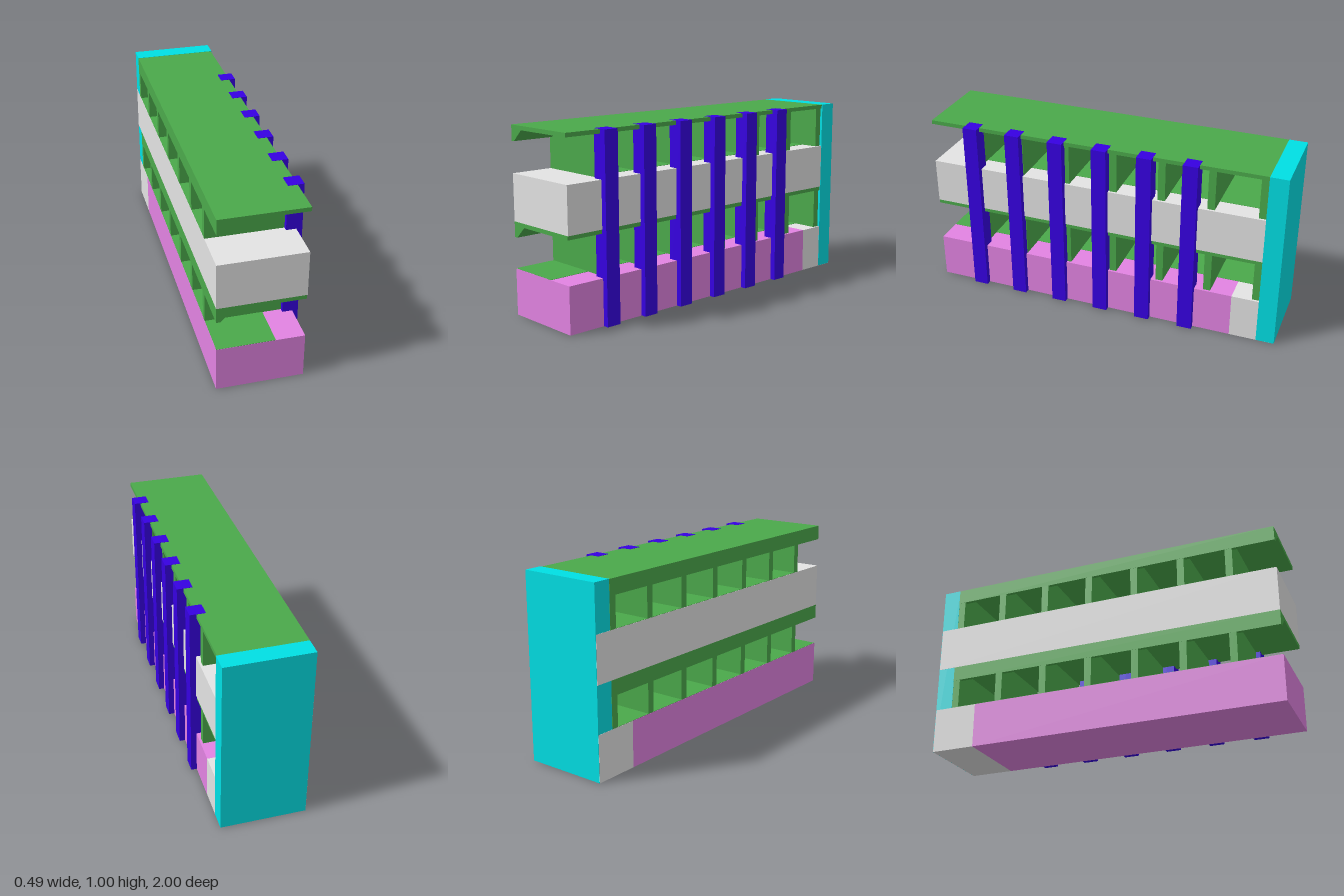
import * as THREE from 'three';

const material = (name, color) => {
  const m = new THREE.MeshStandardMaterial({ color });
  m.name = name;
  return m;
};

export function createModel() {
  const green = material('green', 0x4ba94b);
  const grey = material('light grey', 0xe3e3e3);
  const pink = material('pink', 0xe283e2);
  const blue = material('blue', 0x3600e1);
  const cyan = material('cyan', 0x00dfe4);

  const model = new THREE.Group();
  model.name = 'buildingBlock';

  // Box given by its limits on each axis
  const box = (name, mat, [x0, x1], [y0, y1], [z0, z1]) => {
    const mesh = new THREE.Mesh(new THREE.BoxGeometry(x1 - x0, y1 - y0, z1 - z0), mat);
    mesh.position.set((x0 + x1) / 2, (y0 + y1) / 2, (z0 + z1) / 2);
    mesh.name = name;
    model.add(mesh);
  };

  const back = -0.245;

  // Ground storey base and upper parapet
  box('base', pink, [back, 0.2125], [0, 0.25], [-0.75, 1]);
  box('baseEnd', grey, [back, 0.2125], [0, 0.25], [-0.998, -0.75]);
  box('parapet', grey, [back, 0.2125], [0.5, 0.75], [-0.998, 1]);

  // End wall
  box('endWall', cyan, [-0.244, 0.2135], [0.001, 1], [-1, -0.9]);

  // Thin floor finishes in the open bays
  box('lowerFloor', green, [-0.244, 0.06], [0.249, 0.2515], [-0.9, 0.999]);
  box('upperFloor', green, [-0.244, 0.1], [0.749, 0.7515], [-0.9, 0.765]);

  // Slabs with a chamfered downstand beam along the back edge
  const profile = new THREE.Shape([
    [back, -0.083], [-0.225, -0.083], [-0.16, -0.022],
    [0.2085, -0.022], [0.2085, 0], [back, 0],
  ].map(([x, y]) => new THREE.Vector2(x, y)));
  const slabGeometry = new THREE.ExtrudeGeometry(profile, { depth: 1.9, bevelEnabled: false });
  for (const [name, y] of [['floorSlab', 0.5], ['roofSlab', 0.999]]) {
    const slab = new THREE.Mesh(slabGeometry, green);
    slab.position.set(0, y, -0.9);
    slab.name = name;
    model.add(slab);
  }

  // Cross walls dividing the bays on both storeys
  for (let i = 0; i < 7; i++) {
    const z = -0.879 + i * 0.271;
    for (const y of [0.25, 0.75]) {
      box('crossWall', green, [back + 0.0005, 0.2], [y, y + 0.235], [z - 0.02, z + 0.02]);
    }
  }

  // Full-height columns on the right side
  for (let i = 0; i < 6; i++) {
    const z = -0.5 + i * 0.25;
    box('column', blue, [0.16, 0.2435], [0.001, 1], [z - 0.041, z + 0.041]);
  }

  return model;
}
